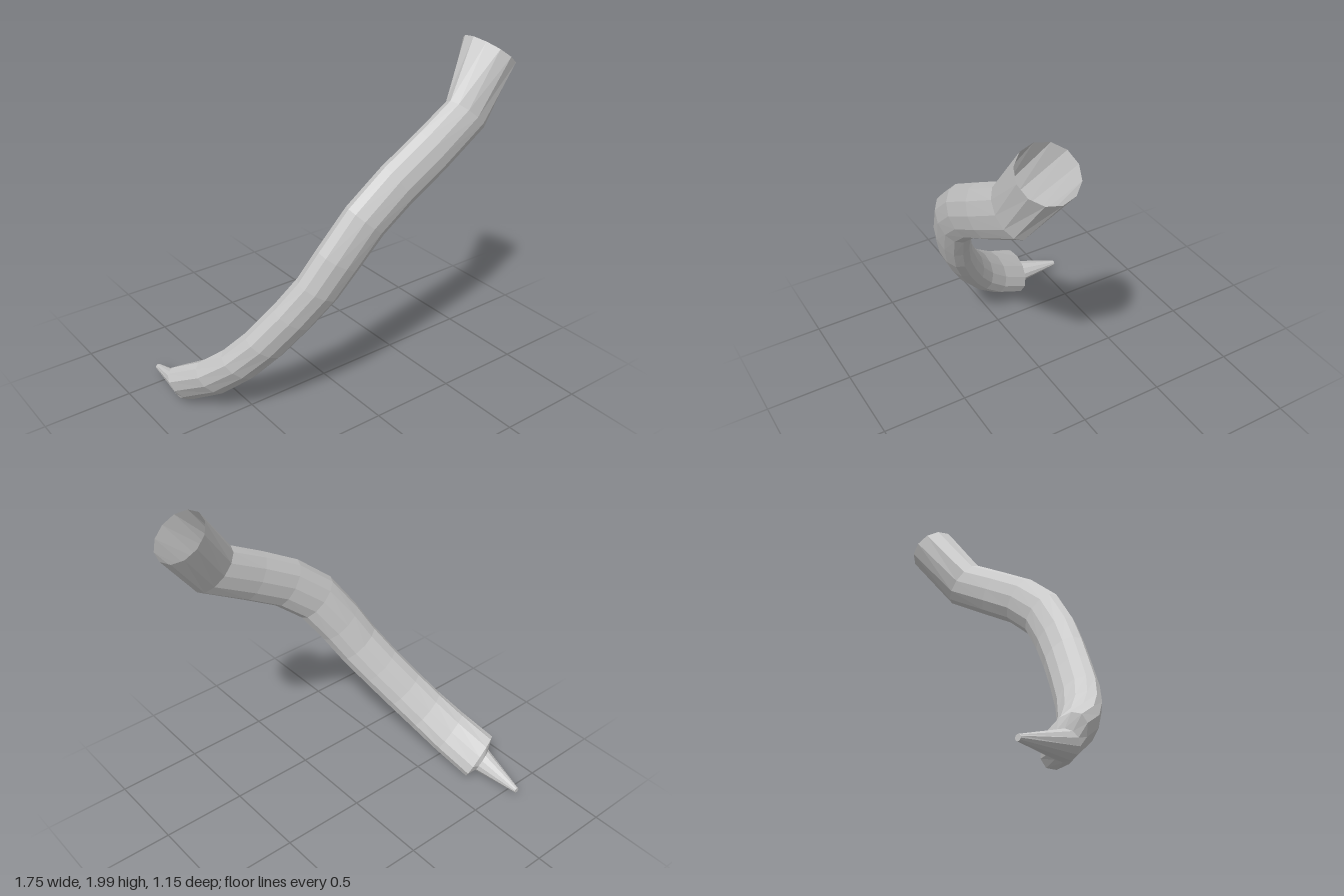
import * as THREE from 'three';

const SIDES = 12;

// One elliptical cross-section: centre, half width, half thickness, roll angle and tangent.
function ring(centre, halfWidth, halfDepth, angle, tangent) {
  const across = new THREE.Vector3(Math.cos(angle), Math.sin(angle), 0);
  const out = across.clone().cross(tangent).normalize();
  return Array.from({ length: SIDES }, (_, i) => {
    const a = (i / SIDES) * Math.PI * 2;
    return centre.clone()
      .addScaledVector(across, halfWidth * Math.cos(a))
      .addScaledVector(out, halfDepth * Math.sin(a));
  });
}

// Skin consecutive rings; optionally close the first one.
function loft(rings, capStart) {
  const pos = [];
  const tri = (...pts) => pts.forEach((p) => pos.push(p.x, p.y, p.z));
  for (let r = 0; r < rings.length - 1; r++) {
    const a = rings[r], b = rings[r + 1];
    for (let i = 0; i < SIDES; i++) {
      const j = (i + 1) % SIDES;
      tri(a[i], b[i], a[j]);
      tri(a[j], b[i], b[j]);
    }
  }
  if (capStart) {
    const a = rings[0];
    for (let i = 1; i < SIDES - 1; i++) tri(a[0], a[i], a[i + 1]);
  }
  const geo = new THREE.BufferGeometry();
  geo.setAttribute('position', new THREE.Float32BufferAttribute(pos, 3));
  geo.computeVertexNormals();
  return geo;
}

export function createModel() {
  const group = new THREE.Group();
  const material = new THREE.MeshStandardMaterial({
    color: 0xcccccc, flatShading: true, side: THREE.DoubleSide,
  });
  const add = (name, geo) => {
    const mesh = new THREE.Mesh(geo, material);
    mesh.name = name;
    group.add(mesh);
  };

  // Stations from the lower end to the open rim: x, y, z, half width, half depth, [roll in degrees]
  const stations = [
    [-0.765, 0.118, -0.26, 0.145, 0.085, -44],
    [-0.69, 0.235, -0.07, 0.14, 0.09, -40],
    [-0.61, 0.365, 0.07, 0.135, 0.09, -36],
    [-0.52, 0.51, 0.18, 0.135, 0.09],
    [-0.41, 0.685, 0.28, 0.135, 0.09],
    [-0.31, 0.85, 0.36, 0.137, 0.09],
    [-0.22, 1.01, 0.41, 0.14, 0.09],
    [-0.09, 1.205, 0.458, 0.14, 0.088],
    [0.09, 1.36, 0.482, 0.14, 0.087],
    [0.3, 1.485, 0.485, 0.14, 0.086],
    [0.54, 1.625, 0.472, 0.145, 0.085, -41],
    [0.748, 1.91, 0.407, 0.15, 0.153, -37],
  ];
  const centres = stations.map((s) => new THREE.Vector3(s[0], s[1], s[2]));
  const last = centres.length - 1;
  const tangentAt = (i) => centres[Math.min(i + 1, last)].clone()
    .sub(centres[Math.max(i - 1, 0)]).normalize();
  const rings = stations.map(([, , , w, d, roll], i) => {
    const t = i === last ? new THREE.Vector3(0.6, 0.8, 0) : tangentAt(i);
    const angle = roll === undefined
      ? Math.atan2(t.y, t.x) - Math.PI / 2
      : THREE.MathUtils.degToRad(roll);
    return ring(centres[i], w, d, angle, t);
  });

  // Bevelled shoulder narrowing to the claw
  const roll = -Math.PI / 4;
  const shoulder = ring(new THREE.Vector3(-0.775, 0.092, -0.275), 0.075, 0.072, roll, tangentAt(0));
  const tip = ring(new THREE.Vector3(-0.77, 0.055, -0.575), 0.016, 0.016, roll, new THREE.Vector3(0, 0, 1));

  add('curvedShaft', loft(rings.slice(0, last)));
  add('flaredSocket', loft(rings.slice(last - 1)));
  add('endShoulder', loft([shoulder, rings[0]]));
  add('claw', loft([tip, shoulder], true));
  return group;
}
